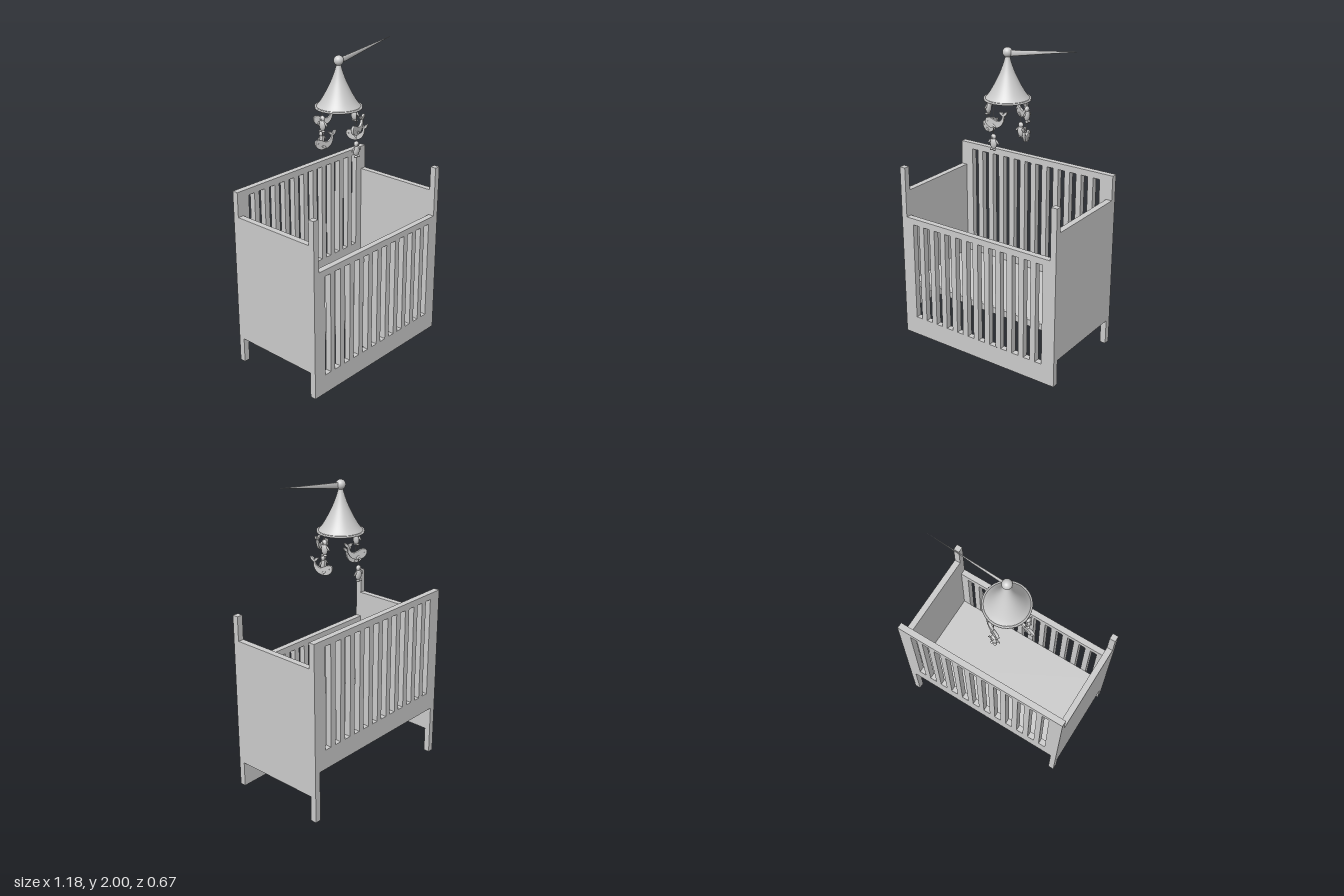
import * as THREE from 'three';

const grey = new THREE.MeshStandardMaterial({ color: 0xcccccc });
const greyDouble = new THREE.MeshStandardMaterial({ color: 0xcccccc, side: THREE.DoubleSide });

const W = 0.59, D = 0.335, T = 0.04; // crib half width, half depth, board thickness
const R = 0.144; // hanging radius of the mobile

function add(parent, name, geometry, x = 0, y = 0, z = 0, material = grey) {
  const mesh = new THREE.Mesh(geometry, material);
  mesh.name = name;
  mesh.position.set(x, y, z);
  parent.add(mesh);
  return mesh;
}

function addBox(parent, name, x0, x1, y0, y1, z0, z1) {
  return add(parent, name, new THREE.BoxGeometry(x1 - x0, y1 - y0, z1 - z0),
    (x0 + x1) / 2, (y0 + y1) / 2, (z0 + z1) / 2);
}

function rect(path, x0, x1, y0, y1) {
  return path.moveTo(x0, y0).lineTo(x1, y0).lineTo(x1, y1).lineTo(x0, y1).closePath();
}

function ellipsoid(parent, name, x, y, z, rx, ry, rz) {
  const mesh = add(parent, name, new THREE.SphereGeometry(1, 16, 10), x, y, z);
  mesh.scale.set(rx, ry, rz);
  return mesh;
}

// Board with a row of twelve upright slots
function slattedPanel() {
  const shape = rect(new THREE.Shape(), -W, W, 0, 0.845);
  const slot = 0.0475, step = 0.0863;
  for (let i = 0; i < 12; i++) {
    const x = -0.498 + i * step;
    shape.holes.push(rect(new THREE.Path(), x, x + slot, 0.13, 0.803));
  }
  return new THREE.ExtrudeGeometry(shape, { depth: T, bevelEnabled: false });
}

function createCrib() {
  const crib = new THREE.Group();
  crib.name = 'crib';
  const panel = slattedPanel();
  add(crib, 'frontPanel', panel, 0, 0, D - T);
  add(crib, 'backPanel', panel, 0, 0.338, -D);
  for (const s of [-1, 1]) {
    const x0 = s < 0 ? -W : W - T, x1 = x0 + T;
    addBox(crib, 'frontPost', x0, x1, 0.845, 1.18, D - T, D);
    addBox(crib, 'backLeg', x0, x1, 0, 0.338, -D, -D + T);
    addBox(crib, 'sidePanel', x0, x1, 0.17, 1.02, -D + T, D - T);
  }
  addBox(crib, 'mattressBase', -W + T, W - T, 0.338, 0.38, -D + T, D - T);
  return crib;
}

// Flat whale, head towards -x, raised tail towards +x
function createWhale() {
  const whale = new THREE.Group();
  whale.name = 'whale';
  const s = new THREE.Shape();
  s.moveTo(-0.052, 0.012);
  s.bezierCurveTo(-0.05, 0.035, -0.02, 0.032, 0, 0.02);
  s.bezierCurveTo(0.025, 0.004, 0.055, 0.005, 0.06, 0.045);
  s.quadraticCurveTo(0.045, 0.05, 0.038, 0.068);
  s.quadraticCurveTo(0.06, 0.072, 0.066, 0.056);
  s.quadraticCurveTo(0.075, 0.076, 0.093, 0.074);
  s.quadraticCurveTo(0.09, 0.05, 0.072, 0.044);
  s.bezierCurveTo(0.075, 0, 0.05, -0.034, 0.005, -0.036);
  s.bezierCurveTo(-0.03, -0.038, -0.055, -0.015, -0.052, 0.012);
  add(whale, 'whaleBody', new THREE.ExtrudeGeometry(s, {
    depth: 0.008, bevelThickness: 0.005, bevelSize: 0.003, bevelOffset: -0.003,
    bevelSegments: 2, curveSegments: 8,
  }), 0, 0, -0.004);
  for (const side of [-1, 1]) {
    ellipsoid(whale, 'whaleFin', 0.005, -0.018, side * 0.011, 0.016, 0.007, 0.004).rotation.z = -0.5;
    ellipsoid(whale, 'whaleEye', -0.033, 0.006, side * 0.009, 0.003, 0.003, 0.003);
  }
  return whale;
}

// Small penguin facing +z
function createPenguin() {
  const penguin = new THREE.Group();
  penguin.name = 'penguin';
  ellipsoid(penguin, 'penguinBody', 0, -0.008, 0, 0.023, 0.036, 0.016);
  ellipsoid(penguin, 'penguinHead', 0, 0.034, 0, 0.018, 0.018, 0.014);
  ellipsoid(penguin, 'beak', 0, 0.031, 0.015, 0.006, 0.004, 0.007);
  for (const s of [-1, 1]) {
    ellipsoid(penguin, 'wing', s * 0.027, 0.004, 0, 0.007, 0.021, 0.005).rotation.z = s * 0.75;
    ellipsoid(penguin, 'foot', s * 0.011, -0.045, 0.006, 0.01, 0.007, 0.012);
  }
  return penguin;
}

function createMobile() {
  const mobile = new THREE.Group();
  mobile.name = 'mobile';
  mobile.position.z = -0.008;

  // Flared canopy with a narrow flat rim
  const flare = new THREE.SplineCurve([
    [0.012, 1.915], [0.022, 1.875], [0.045, 1.81], [0.08, 1.737], [0.112, 1.682], [0.135, 1.652],
  ].map(([x, y]) => new THREE.Vector2(x, y))).getPoints(20);
  add(mobile, 'canopy', new THREE.LatheGeometry(flare, 48), 0, 0, 0, greyDouble);
  const rim = [[0.134, 1.641], [0.146, 1.641], [0.146, 1.652], [0.134, 1.652], [0.134, 1.641]]
    .map(([x, y]) => new THREE.Vector2(x, y));
  add(mobile, 'canopyRim', new THREE.LatheGeometry(rim, 48), 0, 0, 0, greyDouble);

  add(mobile, 'topBall', new THREE.SphereGeometry(0.031, 24, 16), 0, 1.93, 0);

  // Tapered support arm, flat from side to side
  const start = new THREE.Vector3(0, 1.923, 0), end = new THREE.Vector3(0.51, 2, 0);
  const dir = end.clone().sub(start);
  const arm = add(mobile, 'supportArm', new THREE.ConeGeometry(0.02, dir.length(), 12));
  arm.position.copy(start).addScaledVector(dir, 0.5);
  arm.rotation.z = Math.atan2(dir.y, dir.x) - Math.PI / 2;
  arm.scale.z = 0.35;

  // Strings: position, penguin height and facing, whale height and heading
  const strings = [
    { x: -R, z: 0, penguinY: 1.57, facing: -Math.PI / 2, whaleY: 1.445, heading: -0.3 },
    { x: R, z: 0, penguinY: 1.57, facing: Math.PI / 2, whaleY: 1.435, heading: -1.23 },
    { x: 0, z: R, penguinY: 1.407, facing: 0, whaleY: 1.532, heading: 0.2 },
    { x: 0, z: -R, penguinY: 1.407, facing: Math.PI, whaleY: 1.532, heading: -0.5 },
  ];
  for (const { x, z, penguinY, facing, whaleY, heading } of strings) {
    const low = Math.min(penguinY, whaleY), len = 1.645 - low;
    add(mobile, 'string', new THREE.CylinderGeometry(0.0018, 0.0018, len, 6), x, low + len / 2, z);
    const penguin = createPenguin();
    penguin.position.set(x, penguinY, z);
    penguin.rotation.y = facing;
    const whale = createWhale();
    whale.position.set(x, whaleY, z);
    whale.rotation.y = heading;
    mobile.add(penguin, whale);
  }
  return mobile;
}

export function createModel() {
  const model = new THREE.Group();
  model.name = 'cribWithMobile';
  model.add(createCrib(), createMobile());
  return model;
}
